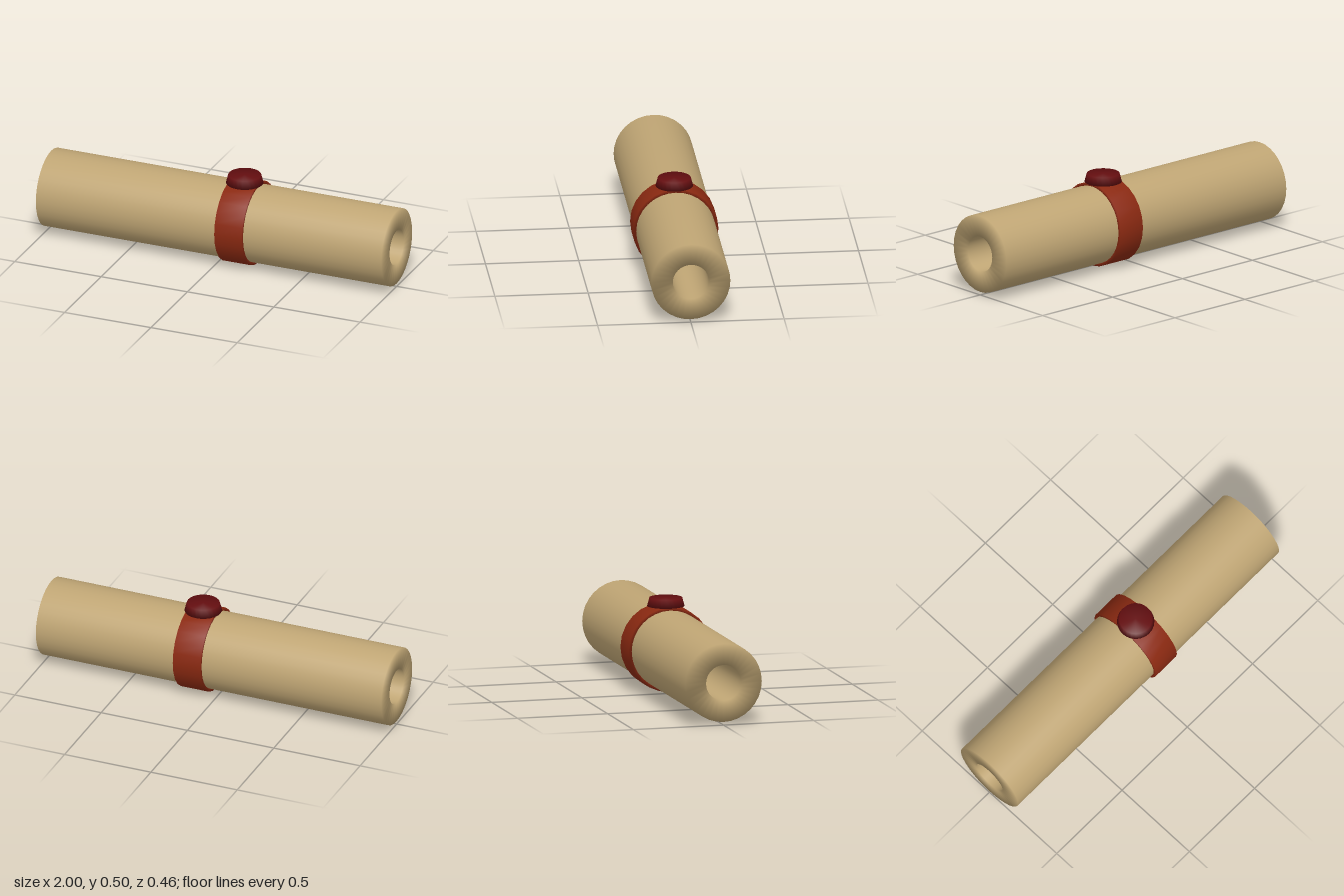
import * as THREE from 'three';
import { mergeVertices } from 'three/addons/utils/BufferGeometryUtils.js';

const AXIS_Y = 0.23;

// Revolve a profile and weld it so shading flows smoothly over its edges
function softLathe(profile, segments) {
  const raw = new THREE.LatheGeometry(profile.map(([r, y]) => new THREE.Vector2(r, y)), segments);
  raw.deleteAttribute('uv');
  raw.deleteAttribute('normal');
  const geometry = mergeVertices(raw, 1e-4);
  geometry.computeVertexNormals();
  return geometry;
}

// Closed hollow ring with its axis along x
function ring(outer, inner, x0, x1, segments) {
  const geometry = softLathe([[outer, x0], [outer, x1], [inner, x1], [inner, x0], [outer, x0]], segments);
  return geometry.rotateZ(-Math.PI / 2).translate(0, AXIS_Y, 0);
}

export function createModel() {
  const group = new THREE.Group();
  const material = (name, color) => new THREE.MeshStandardMaterial({ name, color });
  const add = (name, geometry, mat) => {
    const mesh = new THREE.Mesh(geometry, mat);
    mesh.name = name;
    group.add(mesh);
  };

  // Rolled sheet, open through the middle
  add('rolledParchment', ring(0.212, 0.097, -1, 1, 32), material('parchment', 0xbfa574));

  // Band wrapped around the roll
  add('band', ring(0.229, 0.206, 0.04, 0.2, 24), material('rustRed', 0x8a2911));

  // Tapered wax seal on top of the band
  const seal = softLathe([[0, 0.455], [0.1, 0.455], [0.088, 0.5], [0, 0.5]], 24);
  add('waxSeal', seal.translate(0.12, 0, 0), material('darkRed', 0x640e10));

  return group;
}
